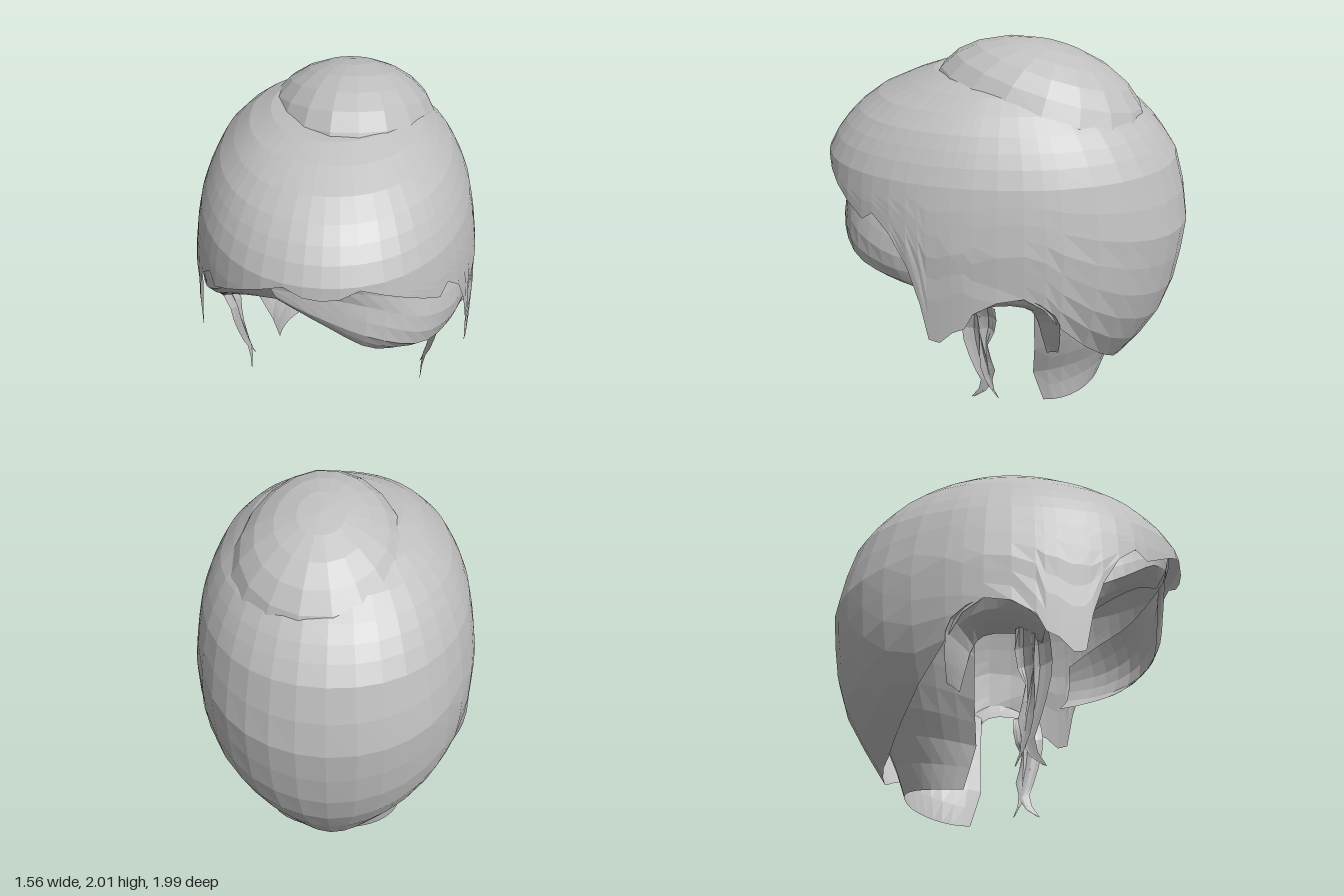
import * as THREE from 'three';

const hair = new THREE.MeshStandardMaterial({ color: 0xbfbfbf, flatShading: true, side: THREE.DoubleSide });
hair.name = 'hair grey';

// Faceted sheet: columns i run around, rows j run downwards, at(i, j) gives a point
function sheet(name, nu, nv, at) {
  const pos = [], idx = [];
  for (let i = 0; i <= nu; i++) for (let j = 0; j <= nv; j++) pos.push(...at(i, j));
  for (let i = 0; i < nu; i++) for (let j = 0; j < nv; j++) {
    const a = i * (nv + 1) + j, b = a + nv + 1;
    idx.push(a, a + 1, b + 1, a, b + 1, b);
  }
  const g = new THREE.BufferGeometry();
  g.setAttribute('position', new THREE.Float32BufferAttribute(pos, 3));
  g.setIndex(idx);
  const flat = g.toNonIndexed();
  flat.computeVertexNormals();
  const mesh = new THREE.Mesh(flat, hair);
  mesh.name = name;
  return mesh;
}

// Smooth sheet through a few columns of [x, y, z] points
function patch(name, columns, nu, nv) {
  const curve = (pts) => new THREE.CatmullRomCurve3(pts);
  const cols = columns.map((c) => curve(c.map((p) => new THREE.Vector3(...p))));
  const rows = [];
  for (let j = 0; j <= nv; j++) rows.push(curve(cols.map((c) => c.getPoint(j / nv))));
  return sheet(name, nu, nv, (i, j) => rows[j].getPoint(i / nu).toArray());
}

// Linear lookup in a table whose first entries ascend
function lookup(table, key) {
  let k = 1;
  while (k < table.length - 1 && table[k][0] < key) k++;
  const a = table[k - 1], b = table[k];
  const t = THREE.MathUtils.clamp((key - a[0]) / (b[0] - a[0]), 0, 1);
  return a.map((v, n) => v + (b[n] - v) * t);
}

// Signed power, makes rounded ovals a little squarer
const bulge = (v, p) => Math.sign(v) * Math.pow(Math.abs(v), p);

// Cap cross-sections: height, half width, front depth, back depth
const rings = [
  [0.12, 0.36, 0.8, 0.66], [0.22, 0.46, 0.85, 0.72], [0.35, 0.56, 0.92, 0.81], [0.47, 0.65, 1, 0.88],
  [0.57, 0.7, 1, 0.92], [0.68, 0.745, 1, 0.95], [0.82, 0.77, 1, 0.975],
  [1.08, 0.775, 1, 1], [1.28, 0.745, 1, 0.955], [1.41, 0.715, 0.985, 0.915], [1.5, 0.68, 0.935, 0.855],
  [1.57, 0.645, 0.88, 0.8], [1.64, 0.605, 0.81, 0.73], [1.72, 0.53, 0.7, 0.63],
  [1.79, 0.45, 0.54, 0.5], [1.84, 0.34, 0.4, 0.34], [1.88, 0, 0, 0],
];
// Heights of the level rows above the hairline
const crownRows = [1.88, 1.84, 1.79, 1.72, 1.64, 1.57, 1.5, 1.41];
// Hairline: angle from the front in degrees, height of the edge
const rim = [
  [0, 1.34], [6, 1.35], [13, 1.39], [22, 1.34], [30, 1.29], [38, 1.23], [46, 1.17], [51, 1.22],
  [58, 1.13], [64, 0.97], [68, 0.78], [70.5, 0.58], [74, 0.57], [78, 0.64], [81.5, 0.67], [84, 0.76],
  [90, 0.83], [97, 0.85], [103, 0.78], [108, 0.66], [119, 0.48], [130, 0.35], [140, 0.27],
  [150, 0.21], [160, 0.18], [170, 0.15], [180, 0.13],
];

function cap() {
  const last = rim.length - 1, crown = crownRows.length - 1, lower = 7;
  return sheet('cap', last * 2, crown + lower, (i, j) => {
    const mirrored = i > last;
    const [deg, edge] = rim[mirrored ? 2 * last - i : i];
    const y = j <= crown ? crownRows[j] : 1.41 + (edge - 1.41) * ((j - crown) / lower);
    const [, w, front, back] = lookup(rings, y);
    const a = THREE.MathUtils.degToRad(deg);
    const c = bulge(Math.cos(a), 0.94);
    // the sideburns stay wide where the nape narrows
    const half = c > 0 && y < 0.9 ? 0.78 : w;
    return [(mirrored ? -1 : 1) * half * bulge(Math.sin(a), 0.94), y, c * (c > 0 ? front : back)];
  });
}

// Nape layer: height, half width, front edge z, back z
const neck = [
  [0, 0.4, -0.23, -0.54], [0.2, 0.43, -0.17, -0.61], [0.4, 0.52, -0.18, -0.7],
  [0.7, 0.61, -0.18, -0.82], [1.05, 0.62, -0.2, -0.87],
];
function nape() {
  return sheet('nape', 18, 7, (i, j) => {
    const a = (i / 18) * Math.PI;
    const s = Math.sin(a), c = Math.cos(a);
    const bottom = 0.045 * s * s, top = 0.72 + 0.34 * s;
    const y = top + (bottom - top) * (j / 7);
    const [, w, front, back] = lookup(neck, y);
    return [w * bulge(c, 0.85), y, front + (back - front) * s];
  });
}

// Side locks and the band over the ear, built on the +x side
function sideHair() {
  const g = new THREE.Group();
  g.add(patch('frontLock', [
    [[0.7, 0.76, 0.17], [0.62, 0.62, 0.2], [0.6, 0.48, 0.19], [0.57, 0.3, 0.14], [0.54, 0.19, 0.11], [0.52, 0.08, 0.17]],
    [[0.68, 0.77, 0.11], [0.59, 0.6, 0.14], [0.57, 0.46, 0.13], [0.55, 0.3, 0.1], [0.53, 0.17, 0.07], [0.52, 0.09, 0.15]],
    [[0.67, 0.75, 0.08], [0.61, 0.6, 0.11], [0.59, 0.45, 0.09], [0.56, 0.28, 0.06], [0.53, 0.16, 0.06], [0.52, 0.08, 0.16]],
  ], 4, 8));
  g.add(patch('backLock', [
    [[0.69, 0.75, 0.12], [0.61, 0.6, 0.11], [0.6, 0.48, 0.11], [0.58, 0.33, 0.11], [0.55, 0.2, 0.08], [0.52, 0.09, 0.025]],
    [[0.67, 0.75, 0.06], [0.58, 0.6, 0.06], [0.57, 0.47, 0.08], [0.56, 0.32, 0.07], [0.54, 0.2, 0.06], [0.52, 0.08, 0.02]],
    [[0.66, 0.73, 0.02], [0.6, 0.58, 0.02], [0.59, 0.45, 0.07], [0.57, 0.31, 0.03], [0.54, 0.19, 0.05], [0.52, 0.08, 0.015]],
  ], 4, 8));
  g.add(patch('earBand', [
    [[0.74, 0.72, 0.17], [0.7, 0.69, 0.16], [0.62, 0.67, 0.15]],
    [[0.76, 0.83, 0.03], [0.71, 0.77, 0.04], [0.62, 0.72, 0.05]],
    [[0.76, 0.86, -0.12], [0.71, 0.78, -0.12], [0.61, 0.72, -0.13]],
    [[0.74, 0.74, -0.3], [0.68, 0.71, -0.25], [0.6, 0.66, -0.19]],
    [[0.69, 0.58, -0.32], [0.64, 0.56, -0.27], [0.6, 0.55, -0.22]],
    [[0.62, 0.46, -0.31], [0.6, 0.45, -0.28], [0.58, 0.43, -0.25]],
  ], 12, 3));
  return g;
}

// Bun: tilted dome, a little off centre and narrower towards the front
function bun() {
  const g = new THREE.SphereGeometry(1, 18, 12);
  const p = g.attributes.position;
  for (let i = 0; i < p.count; i++) p.setX(i, p.getX(i) * (1 - 0.12 * p.getZ(i)));
  g.computeVertexNormals();
  const mesh = new THREE.Mesh(g, hair);
  mesh.name = 'bun';
  mesh.scale.set(0.47, 0.37, 0.59);
  mesh.rotation.x = -0.27;
  mesh.position.set(0.06, 1.62, -0.17);
  return mesh;
}

export function createModel() {
  const model = new THREE.Group();
  model.name = 'hair';
  model.add(cap(), nape(), bun());

  // Fringe: a wide sweep to the left and a narrow one to the right of the parting
  model.add(patch('fringeLeft', [
    [[-0.27, 1.4, 0.89], [-0.25, 1.3, 0.87], [-0.23, 1.24, 0.86], [-0.22, 1.19, 0.82]],
    [[0, 1.39, 0.92], [0, 1.26, 0.87], [0, 1.13, 0.88], [0, 1.06, 0.84]],
    [[0.25, 1.36, 0.86], [0.26, 1.2, 0.86], [0.26, 1.03, 0.885], [0.23, 0.92, 0.83]],
    [[0.45, 1.28, 0.74], [0.48, 1.1, 0.78], [0.48, 0.92, 0.77], [0.42, 0.82, 0.66]],
    [[0.6, 1.2, 0.55], [0.63, 1.03, 0.6], [0.62, 0.87, 0.55], [0.55, 0.79, 0.45]],
    [[0.69, 1.1, 0.38], [0.71, 1.0, 0.38], [0.7, 0.87, 0.36], [0.66, 0.8, 0.31]],
  ], 14, 6));
  model.add(patch('fringeRight', [
    [[-0.69, 1.1, 0.38], [-0.7, 0.93, 0.37], [-0.62, 0.76, 0.29]],
    [[-0.6, 1.2, 0.56], [-0.62, 1.05, 0.58], [-0.55, 0.93, 0.48]],
    [[-0.43, 1.32, 0.76], [-0.45, 1.21, 0.76], [-0.4, 1.1, 0.68]],
    [[-0.25, 1.4, 0.89], [-0.24, 1.3, 0.87], [-0.22, 1.19, 0.81]],
  ], 9, 4));

  for (const side of [1, -1]) {
    const g = sideHair();
    g.name = side > 0 ? 'leftSideHair' : 'rightSideHair';
    g.scale.x = side;
    model.add(g);
  }
  return model;
}
